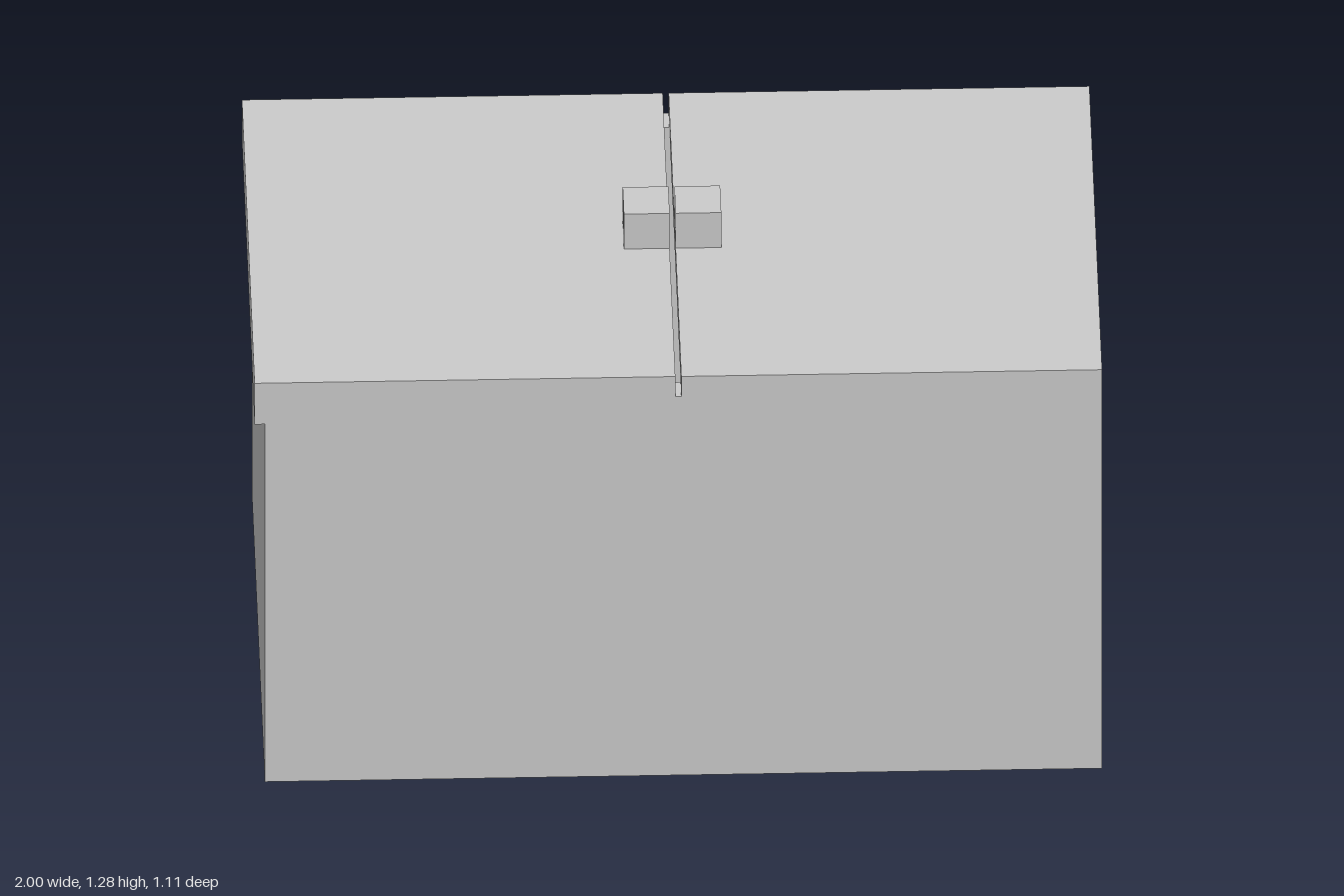
import * as THREE from 'three';

const material = new THREE.MeshStandardMaterial({ color: 0xcccccc, flatShading: true });
const sheetMaterial = new THREE.MeshStandardMaterial({ color: 0xcccccc, side: THREE.DoubleSide });

const HALF_DEPTH = 0.557;
const WALL = 0.056;
const BODY = { left: -0.976, right: 1, top: 1.117 };
const LID = { top: 1.176, lipBottom: 1.055, lip: 0.024, gap: 0.007 };
const HANDLE = { outer: 0.115, top: 1.279, halfDepth: 0.053, leg: 0.025 };

function addMesh(parent, name, geometry, mat = material) {
  const mesh = new THREE.Mesh(geometry, mat);
  mesh.name = name;
  parent.add(mesh);
  return mesh;
}

// Box given by its minimum and maximum corners
function boxBetween([x0, y0, z0], [x1, y1, z1]) {
  return new THREE.BoxGeometry(x1 - x0, y1 - y0, z1 - z0)
    .translate((x0 + x1) / 2, (y0 + y1) / 2, (z0 + z1) / 2);
}

function polygon(points) {
  return points.map(([x, y]) => new THREE.Vector2(x, y));
}

function rectangle(x0, x1, half) {
  return polygon([[x0, -half], [x1, -half], [x1, half], [x0, half]]);
}

// Open-topped hollow box: a wall ring and a floor
function createBody() {
  const body = new THREE.Group();
  body.name = 'body';
  const ring = new THREE.Shape(rectangle(BODY.left, BODY.right, HALF_DEPTH));
  const inner = HALF_DEPTH - WALL;
  ring.holes.push(new THREE.Path(rectangle(BODY.left + WALL, BODY.right - WALL, inner)));
  const walls = new THREE.ExtrudeGeometry(ring, { depth: BODY.top, bevelEnabled: false });
  addMesh(body, 'walls', walls.rotateX(-Math.PI / 2));
  addMesh(body, 'floor', boxBetween(
    [BODY.left + WALL, 0, -inner], [BODY.right - WALL, WALL, inner]));
  return body;
}

// Half lid with a lip hanging down at its outer end; side is +1 or -1
function createLid(side) {
  const lid = new THREE.Group();
  lid.name = side > 0 ? 'leftLid' : 'rightLid';
  const profile = new THREE.Shape(polygon([
    [LID.gap, BODY.top], [1 - LID.lip, BODY.top], [1 - LID.lip, LID.lipBottom],
    [1, LID.lipBottom], [1, LID.top], [LID.gap, LID.top],
  ].map(([x, y]) => [side * x, y])));
  const panel = new THREE.ExtrudeGeometry(profile, { depth: 2 * HALF_DEPTH, bevelEnabled: false });
  addMesh(lid, 'lidPanel', panel.translate(0, 0, -HALF_DEPTH));

  // Half handle: two upright plates joined by a thin top sheet
  const x0 = Math.min(side * LID.gap, side * HANDLE.outer);
  const x1 = Math.max(side * LID.gap, side * HANDLE.outer);
  const slot = HANDLE.halfDepth - HANDLE.leg;
  addMesh(lid, 'handleFrontPlate', boxBetween(
    [x0, LID.top, slot], [x1, HANDLE.top, HANDLE.halfDepth]));
  addMesh(lid, 'handleBackPlate', boxBetween(
    [x0, LID.top, -HANDLE.halfDepth], [x1, HANDLE.top, -slot]));
  const sheet = new THREE.PlaneGeometry(x1 - x0, 2 * slot).rotateX(-Math.PI / 2);
  addMesh(lid, 'handleTop', sheet.translate((x0 + x1) / 2, HANDLE.top, 0), sheetMaterial);
  return lid;
}

export function createModel() {
  const model = new THREE.Group();
  model.name = 'lidded box';
  model.add(createBody(), createLid(1), createLid(-1));
  return model;
}
